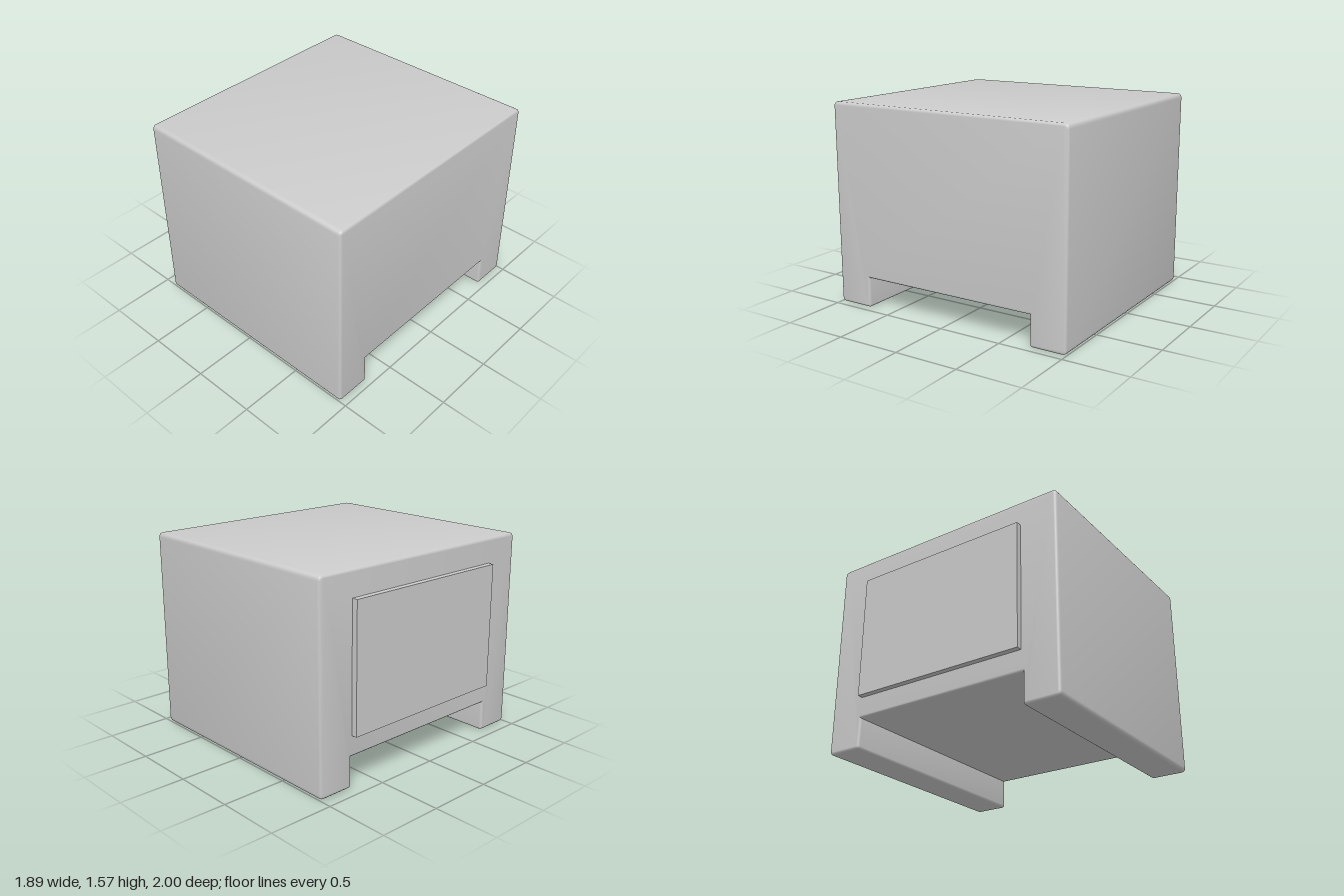
import * as THREE from 'three';
import { toCreasedNormals } from 'three/addons/utils/BufferGeometryUtils.js';

const material = new THREE.MeshStandardMaterial({ color: 0xcccccc });

// Closed shape from [x, y, radius] corners; radius 0 stays sharp.
function roundedShape(corners) {
  const shape = new THREE.Shape();
  const n = corners.length;
  corners.forEach(([x, y, r], i) => {
    const toward = ([px, py]) => {
      const d = Math.hypot(px - x, py - y);
      return [x + ((px - x) * r) / d, y + ((py - y) * r) / d];
    };
    const start = toward(corners[(i + n - 1) % n]);
    const end = toward(corners[(i + 1) % n]);
    if (i === 0) shape.moveTo(...start);
    else shape.lineTo(...start);
    if (r > 0) shape.quadraticCurveTo(x, y, ...end);
  });
  shape.closePath();
  return shape;
}

export function createModel() {
  const group = new THREE.Group();

  // Body: block with a wide notch underneath, leaving a foot at front and back
  const r = 0.035, bevel = 0.02;
  const left = 0.945, right = -0.905;
  const top = 1.565, notchZ = 0.714, notchY = 0.235;
  const profile = roundedShape([
    [-1, 0, r], [-notchZ, 0, r * 0.6], [-notchZ, notchY, 0],
    [notchZ, notchY, 0], [notchZ, 0, r * 0.6], [1, 0, r],
    [1, top, r], [-1, top, r],
  ]);
  const depth = left - right - 2 * bevel;
  const bodyGeometry = new THREE.ExtrudeGeometry(profile, {
    depth, curveSegments: 4,
    bevelEnabled: true, bevelSize: bevel, bevelThickness: bevel,
    bevelOffset: -bevel, bevelSegments: 3,
  });
  bodyGeometry.translate(0, 0, -depth / 2);
  bodyGeometry.rotateY(-Math.PI / 2);
  bodyGeometry.translate((left + right) / 2, 0, 0);
  const body = new THREE.Mesh(toCreasedNormals(bodyGeometry, 0.6), material);
  body.name = 'body';
  group.add(body);

  // Thin raised panel on the right side, slightly sunk into the body
  const panel = new THREE.Mesh(new THREE.BoxGeometry(0.07, 0.975, 1.415), material);
  panel.position.set(-0.945 + 0.03, 0.8825, -0.003);
  panel.name = 'sidePanel';
  group.add(panel);

  return group;
}
